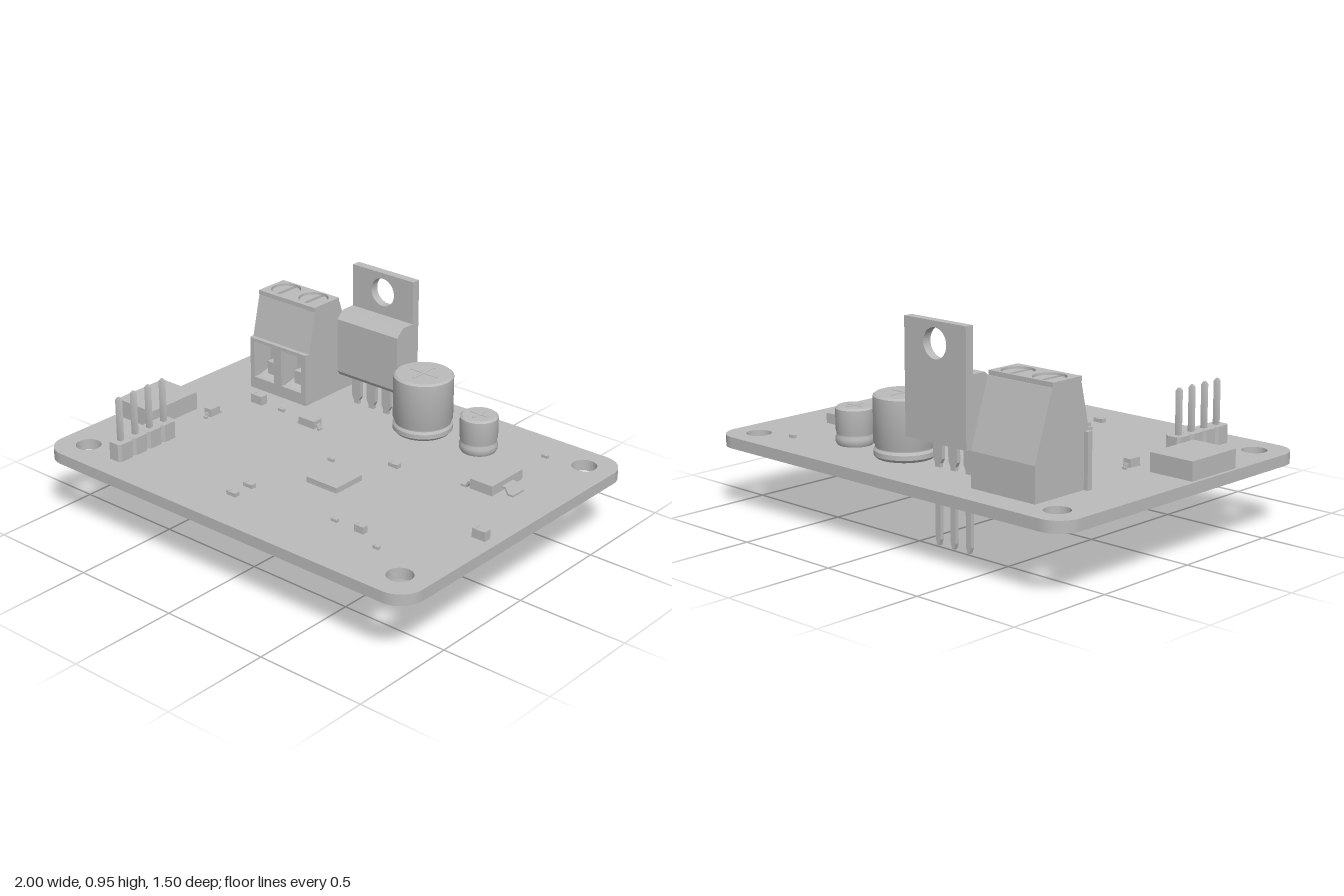
import * as THREE from 'three';
import { toCreasedNormals } from 'three/addons/utils/BufferGeometryUtils.js';

const TOP = 0.33, BOTTOM = 0.28;

export function createModel() {
  const root = new THREE.Group();
  const grey = new THREE.MeshStandardMaterial({ color: 0xbababa });
  grey.name = 'plain grey';

  // ---- helpers ----
  function add(name, geo, x = 0, y = 0, z = 0, parent = root) {
    const m = new THREE.Mesh(geo, grey);
    m.name = name;
    m.position.set(x, y, z);
    parent.add(m);
    return m;
  }
  function group(name, x = 0, y = 0, z = 0, turn = 0) {
    const g = new THREE.Group();
    g.name = name;
    g.position.set(x, y, z);
    g.rotation.y = turn;
    root.add(g);
    return g;
  }
  // box from min/max ranges
  const box = (name, x0, x1, y0, y1, z0, z1, parent) =>
    add(name, new THREE.BoxGeometry(x1 - x0, y1 - y0, z1 - z0), (x0 + x1) / 2, (y0 + y1) / 2, (z0 + z1) / 2, parent);
  const poly = pts => new THREE.Shape(pts.map(p => new THREE.Vector2(...p)));
  const extrude = (shape, depth) =>
    new THREE.ExtrudeGeometry(shape, { depth, bevelEnabled: false, curveSegments: 20 });
  // plan shape drawn as (x, -z), raised upwards
  const plan = (shape, h) => extrude(shape, h).rotateX(-Math.PI / 2);
  // side profile drawn as (z, y), running from x = 0 to x = -w
  const side = (pts, w) => extrude(poly(pts), w).rotateY(-Math.PI / 2);
  const circle = (x, y, r) => new THREE.Path().absarc(x, y, r, 0, Math.PI * 2, true);
  const lathe = (pts, n) =>
    toCreasedNormals(new THREE.LatheGeometry(pts.map(p => new THREE.Vector2(...p)), n), 0.6);
  const squarePin = (w, len, tip) => {
    const r = w * Math.SQRT1_2;
    return lathe([[0, 0], [r * 0.4, 0], [r, tip], [r, len - tip], [r * 0.4, len], [0, len]], 4).rotateY(Math.PI / 4);
  };

  // ---- circuit board with rounded corners and mounting holes ----
  const r = 0.11, b = new THREE.Shape();
  b.absarc(1 - r, 0.75 - r, r, 0, Math.PI / 2);
  b.absarc(-1 + r, 0.75 - r, r, Math.PI / 2, Math.PI);
  b.absarc(-1 + r, -0.75 + r, r, Math.PI, Math.PI * 1.5);
  b.absarc(1 - r, -0.75 + r, r, Math.PI * 1.5, Math.PI * 2);
  for (const x of [-0.865, 0.865]) for (const y of [0.62, -0.61]) b.holes.push(circle(x, y, 0.055));
  add('board', plan(b, TOP - BOTTOM), 0, BOTTOM, 0);

  // ---- screw terminal block ----
  const tb = group('terminalBlock');
  const tx0 = -0.755, tx1 = -0.42, screws = [-0.67, -0.505];
  add('terminalBody', side([[-0.625, TOP], [-0.625, 0.48], [-0.53, 0.765], [-0.364, 0.765], [-0.32, 0.575],
    [-0.41, 0.53], [-0.41, 0.4], [-0.32, 0.38], [-0.32, TOP]], tx1 - tx0), tx1, 0, 0, tb);
  const cap = poly([[tx0, 0.36], [tx1, 0.36], [tx1, 0.526], [tx0, 0.526]]);
  const frame = poly([[tx0, TOP], [tx1, TOP], [tx1, 0.575], [tx0, 0.575]]);
  for (const x of screws) {
    cap.holes.push(circle(x, 0.45, 0.068));
    const c = x - 0.002;
    frame.holes.push(poly([[c - 0.06, 0.385], [c - 0.06, 0.56], [c + 0.06, 0.56], [c + 0.06, 0.385]]));
    // slotted screw head: two half discs
    for (const s of [0, Math.PI]) {
      const half = new THREE.Shape();
      half.absarc(0, 0, 0.062, s - 1.4, s + 1.4);
      add('screwHead', plan(half, 0.012), x, 0.765, -0.45, tb);
    }
    box('wireClamp', c - 0.035, c + 0.035, 0.385, 0.45, -0.41, -0.36, tb);
    add('terminalPin', squarePin(0.03, 0.12, 0.008), x, 0.215, -0.447, tb);
  }
  add('terminalTop', plan(cap, 0.02), 0, 0.765, 0, tb);
  add('terminalFrame', extrude(frame, 0.022), 0, 0, -0.32, tb);
  for (const [a, c] of [[tx0, -0.735], [-0.608, -0.57], [-0.44, tx1]])
    box('terminalWall', a, c, 0.38, 0.573, -0.41, -0.32, tb);
  box('terminalRib', -0.775, tx0, TOP, 0.565, -0.345, -0.32, tb);

  // ---- power regulator with drilled tab ----
  const reg = group('regulator');
  const tab = poly([[-0.355, 0.46], [-0.013, 0.46], [-0.013, 0.955], [-0.355, 0.955]]);
  tab.holes.push(circle(-0.184, 0.865, 0.064));
  add('regulatorTab', extrude(tab, 0.04), 0, 0, -0.585, reg);
  add('regulatorBody', side([[-0.545, 0.455], [-0.455, 0.455], [-0.44, 0.475], [-0.44, 0.725], [-0.478, 0.76],
    [-0.545, 0.76]], 0.342), -0.013, 0, 0, reg);
  const lead = poly([[-0.005, 0.004], [0.005, 0.004], [0.014, 0.03], [0.014, 0.35], [0.025, 0.37], [0.025, 0.46],
    [-0.025, 0.46], [-0.025, 0.37], [-0.014, 0.35], [-0.014, 0.03]]);
  for (const x of [-0.271, -0.185, -0.099]) add('regulatorLead', extrude(lead, 0.018), x, -0.004, -0.49, reg);

  // ---- electrolytic capacitors ----
  function capacitor(x, z, R, h, pin) {
    const g = group('capacitor', x, TOP, z);
    add('capacitorCan', lathe([[0, 0], [R * 0.92, 0], [R, 0.012], [R, 0.032], [R * 0.94, 0.043], [R * 0.94, 0.05],
      [R, 0.065], [R, h - 0.01], [R - 0.01, h - 0.002], [0, h - 0.002]], 48), 0, 0, 0, g);
    for (const [w, d] of [[R * 1.1, 0.012], [0.012, R * 1.1]])
      add('ventMark', new THREE.BoxGeometry(w, 0.004, d), 0, h - 0.002, 0, g);
    for (const s of [-1, 1])
      add('capacitorPin', new THREE.CylinderGeometry(0.007, 0.007, 0.08, 12), s * pin, -0.025, 0, g);
  }
  capacitor(0.125, -0.455, 0.132, 0.27, 0.06);
  capacitor(0.43, -0.455, 0.083, 0.167, 0.037);

  // ---- pin header with notched housing ----
  const hd = group('pinHeader', -0.67, 0, 0);
  const seg = poly([[-0.025, -0.042], [0.025, -0.042], [0.038, -0.03], [0.038, 0.03], [0.025, 0.042],
    [-0.025, 0.042], [-0.038, 0.03], [-0.038, -0.03]]);
  for (let i = 0; i < 4; i++) {
    const z = 0.346 + i * 0.085;
    add('headerHousing', plan(seg, 0.08), 0, TOP, z, hd);
    add('headerPin', squarePin(0.021, 0.38, 0.012), 0, 0.23, z, hd);
  }

  // ---- connector block and flat chip ----
  box('sideConnector', -0.985, -0.77, TOP, 0.412, 0.04, 0.32);
  box('mainChip', 0.08, 0.245, TOP, 0.355, 0.1, 0.26);
  for (let i = 0; i < 8; i++) {
    const x = 0.094 + i * 0.0195;
    box('chipContact', x - 0.004, x + 0.004, TOP, 0.336, 0.098, 0.262);
  }

  // bent lead running out along +x from the body edge
  function bentLead(g, x, z, len, w, up, flip) {
    const t = 0.009, k = len * 0.35;
    const s = poly([[0, up], [k, up], [len * 0.6, t], [len, t], [len, 0], [len * 0.5, 0], [k * 0.8, up - t], [0, up - t]]);
    const m = add('bentLead', extrude(s, w).translate(0, 0, -w / 2), x, 0, z, g);
    if (flip) m.rotation.y = Math.PI;
  }

  // ---- surface-mount regulator ----
  const so = group('smallRegulator', 0.697, TOP, -0.223);
  box('smallRegulatorBody', -0.057, 0.057, 0.012, 0.057, -0.105, 0.105, so);
  for (const z of [-0.076, 0, 0.076]) bentLead(so, -0.055, z, 0.06, 0.028, 0.034, true);
  bentLead(so, 0.055, 0, 0.06, 0.075, 0.034, false);

  // ---- diodes ----
  function diode(x, z, len, w, turn) {
    const g = group('diode', x, TOP, z, turn);
    box('diodeBody', -len / 2, len / 2, 0.006, 0.042, -w / 2, w / 2, g);
    for (const s of [-1, 1]) bentLead(g, s * len / 2, 0, 0.018, w * 0.5, 0.024, s < 0);
  }
  diode(-0.268, -0.155, 0.09, 0.05, 0);
  diode(-0.67, 0.045, 0.058, 0.038, Math.PI / 2);

  // ---- small chip parts: x, z, length, width, height ----
  for (const [x, z, l, w, h] of [
    [-0.605, -0.19, 0.064, 0.036, 0.042], [0.92, 0.175, 0.064, 0.036, 0.042], [0.53, 0.445, 0.048, 0.027, 0.032],
    [-0.07, 0.445, 0.05, 0.026, 0.018], [-0.07, 0.545, 0.05, 0.026, 0.018], [0.265, -0.09, 0.05, 0.026, 0.018],
    [-0.467, -0.19, 0.032, 0.016, 0.014], [0.03, 0.045, 0.03, 0.014, 0.014], [0.695, -0.575, 0.03, 0.015, 0.014],
    [0.395, 0.445, 0.032, 0.016, 0.014], [0.665, 0.51, 0.03, 0.014, 0.014]]) {
    const g = group('chipPart', x, TOP, z);
    box('chipBody', -l * 0.3, l * 0.3, 0, h - 0.002, -w / 2 + 0.001, w / 2 - 0.001, g);
    for (const s of [-1, 1]) box('chipEnd', s * l * 0.4 - l * 0.1, s * l * 0.4 + l * 0.1, 0, h, -w / 2, w / 2, g);
  }

  // ---- parts under the board ----
  for (const x of [-0.337, -0.203]) for (const z of [0.253, 0.378])
    box('undersideBlock', x - 0.033, x + 0.033, 0.243, BOTTOM, z - 0.033, z + 0.033);
  box('undersideChip', 0.31, 0.342, 0.265, BOTTOM, 0.044, 0.06);

  return root;
}
